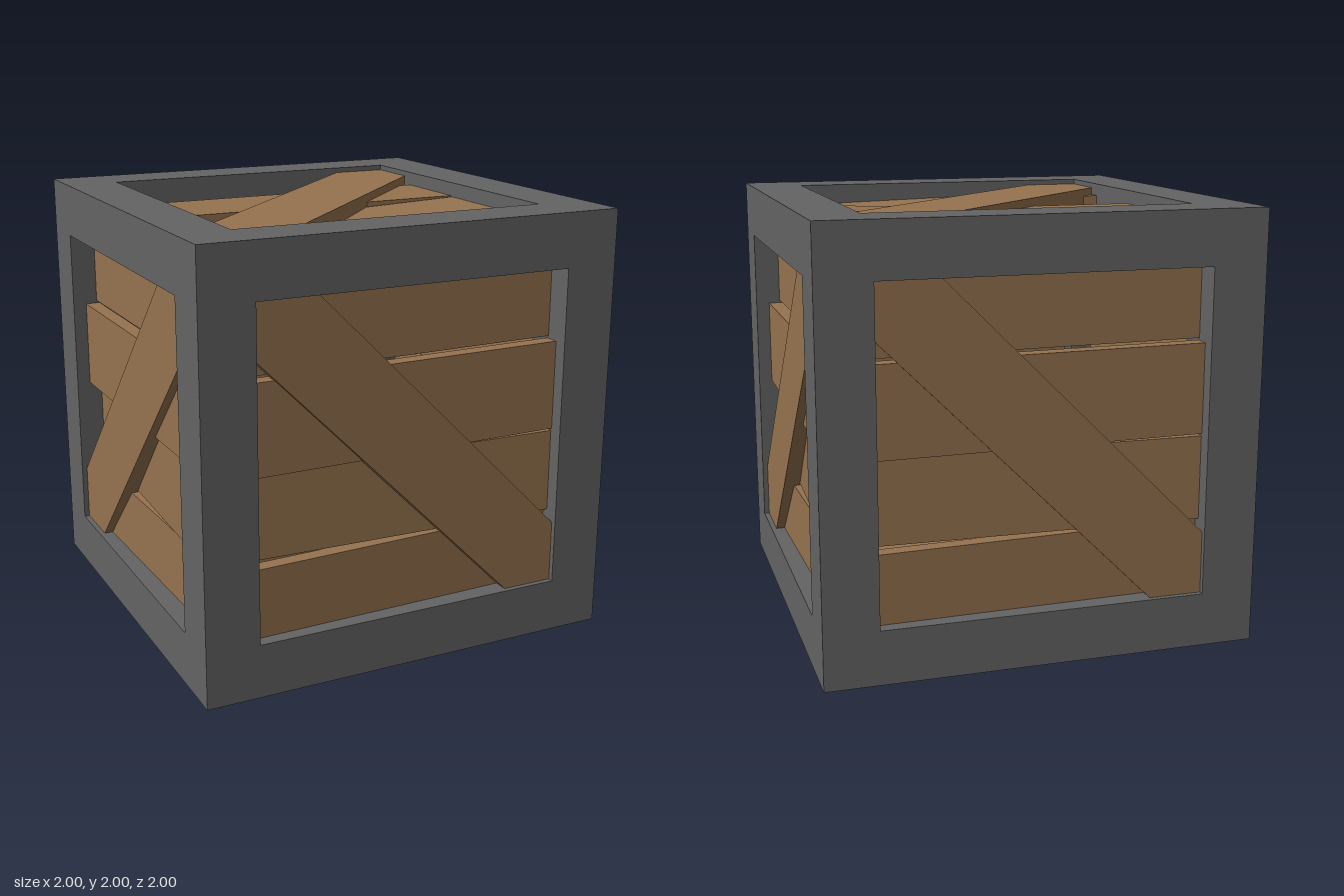
import * as THREE from 'three';

const SIZE = 2, BEAM = 0.25, OPEN = SIZE - 2 * BEAM;

const metal = new THREE.MeshStandardMaterial({ color: 0x646464 });
metal.name = 'grey frame';
const wood = new THREE.MeshStandardMaterial({ color: 0x96734f });
wood.name = 'brown wood';

function box(name, w, h, d, material) {
  const mesh = new THREE.Mesh(new THREE.BoxGeometry(w, h, d), material);
  mesh.name = name;
  return mesh;
}

// Square beams along all twelve edges
function createFrame() {
  const frame = new THREE.Group();
  frame.name = 'frame';
  const c = (SIZE - BEAM) / 2;
  for (const a of [-c, c]) {
    for (const b of [-c, c]) {
      const post = box('cornerPost', BEAM, SIZE, BEAM, metal);
      post.position.set(a, 0, b);
      const railX = box('crossRail', OPEN, BEAM, BEAM, metal);
      railX.position.set(0, a, b);
      const railZ = box('sideRail', BEAM, BEAM, OPEN, metal);
      railZ.position.set(a, b, 0);
      frame.add(post, railX, railZ);
    }
  }
  return frame;
}

// Loose planks: bottom edge, top edge, roll, recess at left end, recess at right end
const PLANKS = [
  [0.412, 0.8, 0.005, 0.12, 0.125],
  [-0.015, 0.4, 0.006, 0.065, 0.065],
  [-0.413, -0.024, 0.003, 0.125, 0.07],
  [-0.8, -0.425, 0.007, 0.06, 0.1],
];
const PLANK_LENGTH = 1.56, PLANK_DEPTH = 0.07;

// One side panel facing +z; slope is +1 for a brace rising to the right, -1 for falling
function createPanel(name, slope, shift) {
  const panel = new THREE.Group();
  panel.name = name;
  for (const [bottom, top, roll, left, right] of PLANKS) {
    const plank = box('plank', PLANK_LENGTH, top - bottom, PLANK_DEPTH, wood);
    plank.position.set(0, (bottom + top) / 2 + shift, 1 - (left + right) / 2 - PLANK_DEPTH / 2);
    plank.rotation.set(0, (right - left) / OPEN, roll);
    panel.add(plank);
  }
  // Diagonal brace, its ends tucked behind the frame
  const brace = box('diagonalBrace', 2.2, 0.38, 0.08, wood);
  brace.position.set(slope < 0 ? 0.01 : 0, slope < 0 ? 0.01 : 0, 0.975 - 0.04);
  brace.rotation.z = slope * Math.PI / 4;
  panel.add(brace);
  return panel;
}

export function createModel() {
  const model = new THREE.Group();
  model.name = 'crate';
  const body = new THREE.Group();
  body.name = 'crateBody';
  body.position.y = SIZE / 2;
  body.add(createFrame());

  // name, turn about x, turn about y, brace slope, plank shift
  const Q = Math.PI / 2;
  const sides = [
    ['frontPanel', 0, 0, -1, 0],
    ['backPanel', 0, 2 * Q, -1, 0],
    ['leftPanel', 0, Q, 1, 0],
    ['rightPanel', 0, -Q, 1, 0],
    ['topPanel', -Q, 0, 1, 0.02],
    ['bottomPanel', Q, 0, 1, 0.02],
  ];
  for (const [name, rx, ry, slope, shift] of sides) {
    const panel = createPanel(name, slope, shift);
    panel.rotation.set(rx, ry, 0);
    body.add(panel);
  }
  model.add(body);
  return model;
}
